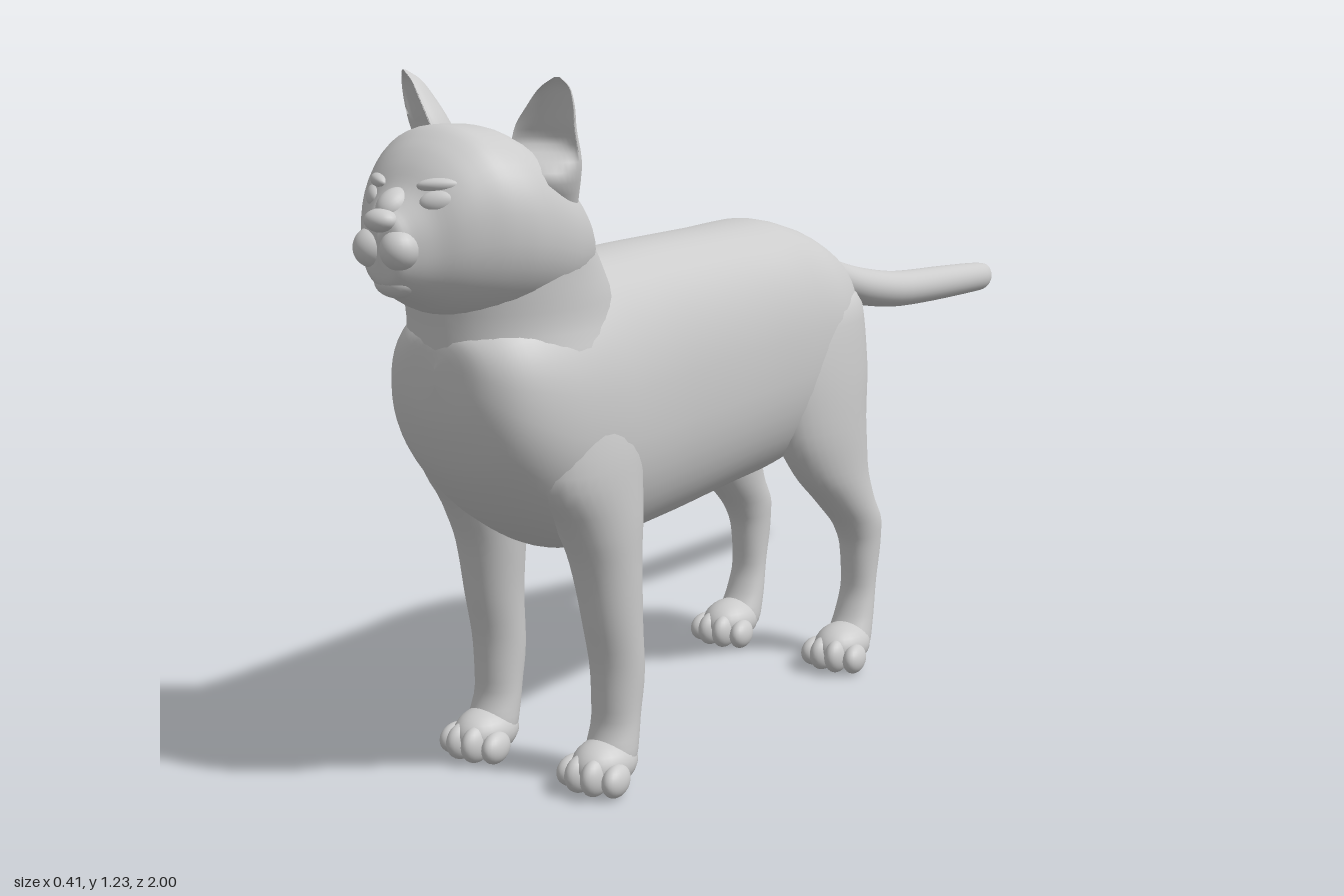
import * as THREE from 'three';

const material = new THREE.MeshStandardMaterial({ color: 0xcccccc, roughness: 0.8, side: THREE.DoubleSide });

// Smoothly interpolated rows (limited tangents, so no overshoot)
function refine(rows, steps) {
  const out = [];
  const slope = (i, k) => {
    const a = i > 0 ? rows[i][k] - rows[i - 1][k] : null;
    const b = i < rows.length - 1 ? rows[i + 1][k] - rows[i][k] : null;
    if (a === null) return b;
    if (b === null) return a;
    return a * b <= 0 ? 0 : (2 * a * b) / (a + b);
  };
  for (let i = 0; i < rows.length - 1; i++) {
    for (let s = 0; s < steps; s++) {
      const t = s / steps, t2 = t * t, t3 = t2 * t;
      out.push(rows[i].map((v, k) =>
        v * (2 * t3 - 3 * t2 + 1) + slope(i, k) * (t3 - 2 * t2 + t) +
        rows[i + 1][k] * (3 * t2 - 2 * t3) + slope(i + 1, k) * (t3 - t2)));
    }
  }
  out.push(rows[rows.length - 1]);
  return out;
}

// Loft of closed rings. Row: [position on axis, low, high, centre x, half width].
// Axis 'z': low/high are heights. Axis 'y': low/high are depths.
function loft(name, axis, rows, { side = 1, power = 1, shape = null, n = 32, steps = 4 } = {}) {
  const rings = refine(rows, steps);
  const pos = [], index = [];
  const bend = v => Math.sign(v) * Math.pow(Math.abs(v), power);
  for (const [a, lo, hi, cx, w] of rings) {
    for (let j = 0; j < n; j++) {
      const t = (j / n) * Math.PI * 2;
      const x = side * cx + w * bend(Math.cos(t));
      const v = (lo + hi) / 2 + ((hi - lo) / 2) * bend(Math.sin(t));
      const p = axis === 'z' ? new THREE.Vector3(x, v, a) : new THREE.Vector3(x, a, v);
      if (shape) shape(p, side * cx, (lo + hi) / 2);
      pos.push(p.x, p.y, p.z);
    }
  }
  const rising = rows[rows.length - 1][0] > rows[0][0];
  const flip = (axis === 'z') !== rising;
  const tri = (a, b, c) => (flip ? index.push(a, c, b) : index.push(a, b, c));
  for (let i = 0; i < rings.length - 1; i++) {
    for (let j = 0; j < n; j++) {
      const k = (j + 1) % n, a = i * n, b = a + n;
      tri(a + j, a + k, b + k);
      tri(a + j, b + k, b + j);
    }
  }
  const g = new THREE.BufferGeometry();
  g.setAttribute('position', new THREE.Float32BufferAttribute(pos, 3));
  g.setIndex(index);
  g.computeVertexNormals();
  const m = new THREE.Mesh(g, material);
  m.name = name;
  return m;
}

function blob(name, p, s, r = [0, 0, 0]) {
  const m = new THREE.Mesh(new THREE.SphereGeometry(1, 24, 16), material);
  m.name = name;
  m.position.set(...p);
  m.scale.set(...s);
  m.rotation.set(...r);
  return m;
}

// Paw with four toes; z is the front of the toes
function paw(name, side, x, z) {
  const g = new THREE.Group();
  g.name = name;
  g.add(blob('pawPad', [side * x, 0.046, z - 0.082], [0.052, 0.044, 0.068]));
  [-0.046, -0.016, 0.016, 0.046].forEach((dx, i) => {
    const outer = i === 0 || i === 3;
    g.add(blob('toe', [side * (x + dx), outer ? 0.03 : 0.036, z - (outer ? 0.055 : 0.037)],
      [0.021, outer ? 0.029 : 0.034, 0.037], [0, side * dx * 4, 0]));
  });
  return g;
}

export function createModel() {
  const cat = new THREE.Group();
  cat.name = 'cat';

  // Torso from rump to chest
  cat.add(loft('torso', 'z', [
    [-0.275, 0.71, 0.74, 0, 0], [-0.265, 0.66, 0.79, 0, 0.065], [-0.24, 0.6, 0.83, 0, 0.115],
    [-0.18, 0.52, 0.867, 0, 0.155], [-0.1, 0.46, 0.9, 0, 0.175], [0, 0.43, 0.92, 0, 0.174],
    [0.15, 0.418, 0.918, 0, 0.166], [0.35, 0.404, 0.918, 0, 0.166], [0.48, 0.4, 0.915, 0, 0.174],
    [0.6, 0.41, 0.915, 0, 0.188], [0.7, 0.46, 0.9, 0, 0.182], [0.78, 0.53, 0.88, 0, 0.163],
    [0.83, 0.6, 0.85, 0, 0.13], [0.858, 0.68, 0.82, 0, 0.075], [0.866, 0.74, 0.77, 0, 0],
  ], { power: 0.88, n: 48 }));

  // Neck rising into the head
  cat.add(loft('neck', 'y', [
    [0.55, 0.5, 0.78, 0, 0.12], [0.66, 0.47, 0.835, 0, 0.17], [0.75, 0.47, 0.858, 0, 0.172],
    [0.84, 0.48, 0.865, 0, 0.158], [0.91, 0.515, 0.872, 0, 0.158], [0.97, 0.56, 0.87, 0, 0.16],
    [1.03, 0.605, 0.85, 0, 0.145], [1.08, 0.65, 0.82, 0, 0.1],
  ], { n: 40 }));

  // Head tapering into the muzzle
  cat.add(loft('head', 'z', [
    [0.55, 0.92, 0.94, 0, 0], [0.58, 0.88, 0.99, 0, 0.1], [0.64, 0.845, 1.07, 0, 0.15],
    [0.7, 0.83, 1.122, 0, 0.168], [0.78, 0.84, 1.158, 0, 0.172], [0.835, 0.85, 1.16, 0, 0.158],
    [0.88, 0.865, 1.138, 0, 0.132], [0.91, 0.88, 1.108, 0, 0.108], [0.935, 0.893, 1.07, 0, 0.08],
    [0.96, 0.908, 1.045, 0, 0.056], [0.978, 0.925, 1.03, 0, 0.038], [0.984, 0.96, 1.0, 0, 0],
  ], { n: 48, power: 0.93 }));
  cat.add(blob('nose', [0, 1.022, 0.975], [0.03, 0.019, 0.024]));
  cat.add(blob('noseBridge', [0, 1.042, 0.945], [0.026, 0.026, 0.035], [0.5, 0, 0]));
  cat.add(blob('chin', [0, 0.922, 0.943], [0.04, 0.026, 0.033]));

  // Tail
  cat.add(loft('tail', 'z', [
    [-1, 0.678, 0.69, 0, 0], [-0.992, 0.66, 0.708, 0, 0.02], [-0.96, 0.651, 0.715, 0, 0.03],
    [-0.8, 0.655, 0.728, 0, 0.037], [-0.6, 0.665, 0.742, 0, 0.041], [-0.45, 0.688, 0.768, 0, 0.045],
    [-0.34, 0.715, 0.798, 0, 0.05], [-0.26, 0.735, 0.83, 0, 0.06], [-0.15, 0.77, 0.87, 0, 0.07],
  ]));

  for (const side of [1, -1]) {
    const label = side > 0 ? 'left' : 'right';

    // Front leg
    cat.add(loft(label + 'FrontLeg', 'y', [
      [0.75, 0.58, 0.68, 0.11, 0], [0.69, 0.53, 0.75, 0.12, 0.055], [0.58, 0.505, 0.755, 0.123, 0.07],
      [0.48, 0.515, 0.695, 0.127, 0.066], [0.4, 0.525, 0.657, 0.13, 0.06], [0.3, 0.527, 0.635, 0.134, 0.053],
      [0.2, 0.522, 0.617, 0.135, 0.048], [0.12, 0.535, 0.615, 0.135, 0.045], [0.06, 0.545, 0.635, 0.136, 0.047],
      [0.02, 0.565, 0.62, 0.136, 0.03],
    ], { side }));
    cat.add(paw(label + 'FrontPaw', side, 0.136, 0.692));

    // Hind leg with thigh and hock
    cat.add(loft(label + 'HindLeg', 'y', [
      [0.81, -0.16, -0.06, 0.09, 0], [0.74, -0.245, 0.02, 0.105, 0.065], [0.62, -0.25, 0.05, 0.113, 0.073],
      [0.51, -0.236, 0.03, 0.122, 0.067], [0.42, -0.236, -0.025, 0.129, 0.057], [0.35, -0.252, -0.1, 0.133, 0.05],
      [0.285, -0.284, -0.165, 0.135, 0.044], [0.24, -0.281, -0.188, 0.135, 0.04], [0.16, -0.262, -0.198, 0.135, 0.037],
      [0.1, -0.25, -0.18, 0.135, 0.041], [0.05, -0.238, -0.15, 0.136, 0.045], [0.015, -0.21, -0.17, 0.136, 0.03],
    ], { side }));
    cat.add(paw(label + 'HindPaw', side, 0.138, -0.083));

    // Ear, hollowed on the side that faces forward and outward
    cat.add(loft(label + 'Ear', 'y', [
      [1.03, 0.66, 0.74, 0.125, 0.03], [1.1, 0.665, 0.795, 0.126, 0.055], [1.15, 0.685, 0.797, 0.135, 0.049],
      [1.19, 0.7, 0.785, 0.149, 0.037], [1.22, 0.717, 0.768, 0.159, 0.023], [1.236, 0.737, 0.75, 0.165, 0.004],
    ], {
      side,
      shape(p, cx, cz) {
        const u = side * (p.x - cx) * 0.45 + (p.z - cz) * 0.89;
        const cup = 1.4 * THREE.MathUtils.smoothstep(p.y, 1.06, 1.14);
        if (u > 0) {
          p.x -= side * 0.45 * u * cup;
          p.z -= 0.89 * u * cup;
        }
      },
    }));

    // Slanted eye, brow and whisker pad
    cat.add(blob(label + 'Eye', [side * 0.07, 1.05, 0.911], [0.037, 0.02, 0.017], [-0.3, side * 0.75, side * 0.3]));
    cat.add(blob(label + 'Brow', [side * 0.066, 1.073, 0.903], [0.042, 0.013, 0.018], [-0.4, side * 0.7, side * 0.25]));
    cat.add(blob(label + 'WhiskerPad', [side * 0.027, 0.977, 0.962], [0.033, 0.034, 0.036], [0, side * 0.4, 0]));
  }
  return cat;
}
